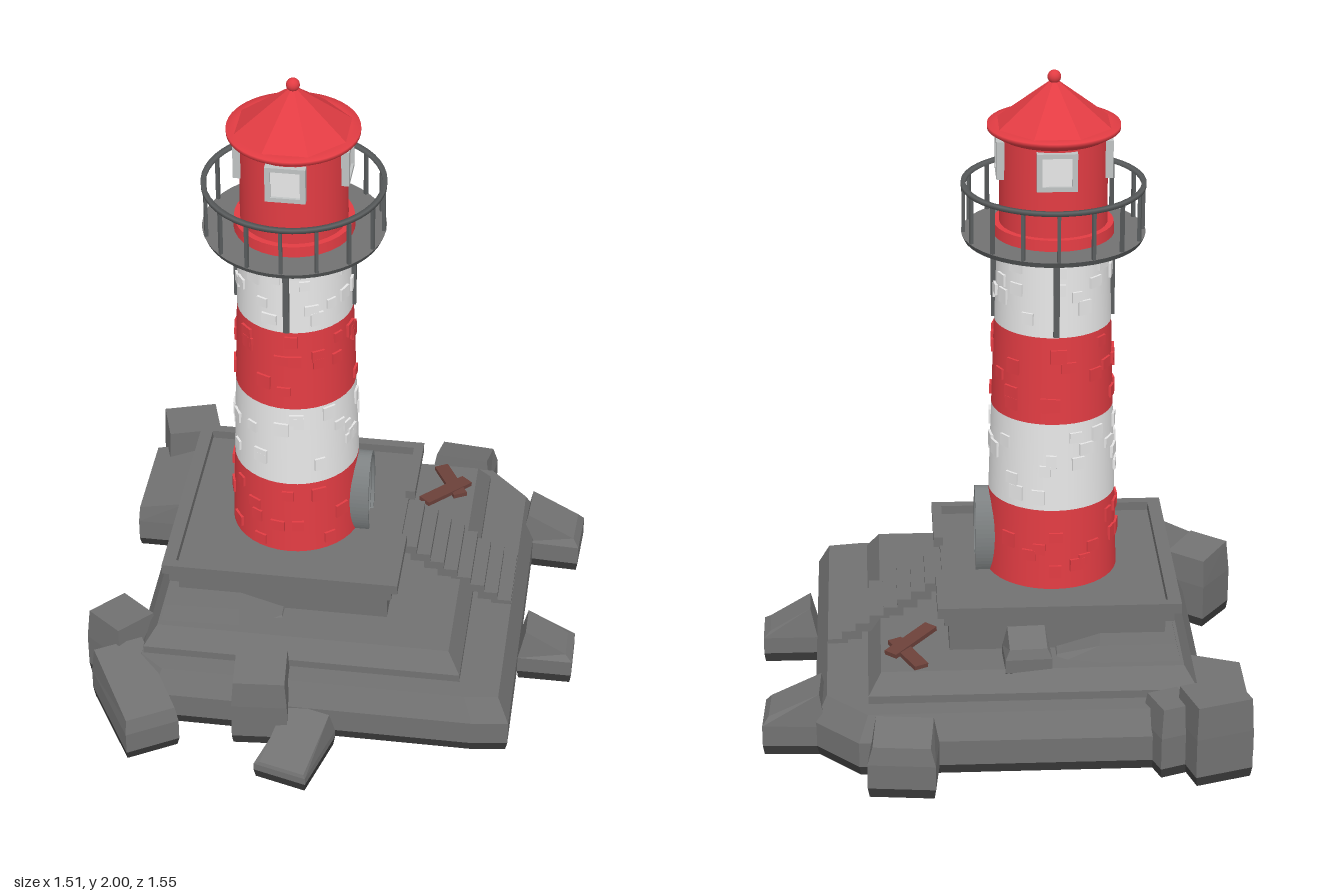
import * as THREE from 'three';
import { mergeGeometries } from 'three/addons/utils/BufferGeometryUtils.js';

const mat = (name, color, opts = {}) => {
  const m = new THREE.MeshStandardMaterial({ color, ...opts });
  m.name = name;
  return m;
};

// Stacks scaled copies of a polygon; points run counterclockwise seen from above.
// tilt(x, z) raises or lowers the topmost layer.
// Group 0 is the underside and lowest band, group 1 everything above.
function loft(pts, layers, tilt = () => 0) {
  const n = pts.length, pos = [], low = [], high = [];
  const cx = pts.reduce((s, p) => s + p[0], 0) / n;
  const cz = pts.reduce((s, p) => s + p[1], 0) / n;
  layers.forEach(([y, s], k) => {
    const top = k === layers.length - 1;
    for (const [px, pz] of pts) {
      const x = cx + (px - cx) * s, z = cz + (pz - cz) * s;
      pos.push(x, y + (top ? tilt(x - cx, z - cz) : 0), z);
    }
  });
  const last = (layers.length - 1) * n;
  pos.push(cx, layers[0][0], cz, cx, layers[layers.length - 1][0], cz);
  const cb = last + n, ct = cb + 1;
  for (let i = 0; i < n; i++) {
    const j = (i + 1) % n;
    for (let k = 0; k < last; k += n) {
      (k === 0 ? low : high).push(k + i, k + j, k + n + j, k + i, k + n + j, k + n + i);
    }
    low.push(cb, j, i);
    high.push(ct, last + i, last + j);
  }
  const g = new THREE.BufferGeometry();
  g.setAttribute('position', new THREE.Float32BufferAttribute(pos, 3));
  g.setIndex([...low, ...high]);
  const flat = g.toNonIndexed();
  flat.computeVertexNormals();
  flat.clearGroups();
  flat.addGroup(0, low.length, 0);
  flat.addGroup(low.length, high.length, 1);
  return flat;
}

const rect = (x0, x1, z0, z1) => [[x1, z1], [x1, z0], [x0, z0], [x0, z1]];

export function createModel() {
  const root = new THREE.Group();
  root.name = 'lighthouse';
  const stone = mat('stone grey', 0x727272, { flatShading: true });
  const wet = mat('wet rock', 0x3a3a3a, { flatShading: true });
  const red = mat('tower red', 0xe23c43);
  const white = mat('tower white', 0xebebeb);
  const iron = mat('iron grey', 0x5b5e5f);
  const trim = mat('trim grey', 0x7d8182);
  const wood = mat('wood brown', 0x6c413a);
  const frame = mat('window frame grey', 0xc0c3c3);

  const add = (parent, name, geo, material, x = 0, y = 0, z = 0) => {
    const m = new THREE.Mesh(geo, material);
    m.name = name;
    m.position.set(x, y, z);
    parent.add(m);
    return m;
  };
  const box = (parent, name, material, x0, x1, y0, y1, z0, z1) =>
    add(parent, name, new THREE.BoxGeometry(x1 - x0, y1 - y0, z1 - z0), material,
      (x0 + x1) / 2, (y0 + y1) / 2, (z0 + z1) / 2);
  const lathe = (parent, name, material, profile) =>
    add(parent, name, new THREE.LatheGeometry(profile.map(([x, y]) => new THREE.Vector2(x, y)), 48), material);

  // Rocky island in tiers, dark along the waterline
  const island = new THREE.Group();
  island.name = 'island';
  root.add(island);
  add(island, 'rockBase', loft(
    [[0.47, 0.545], [0.58, 0.53], [0.58, -0.51], [0.45, -0.64], [-0.52, -0.64], [-0.6, -0.55], [-0.6, 0.48], [-0.52, 0.545]],
    [[0.02, 0.99], [0.05, 1], [0.13, 1], [0.205, 0.94]]), [wet, stone]);
  add(island, 'rockTier', loft(rect(-0.56, 0.42, -0.54, 0.445), [[0.19, 1], [0.23, 1], [0.29, 0.92]]), stone);
  add(island, 'rockShelf', loft(
    [[-0.27, 0.37], [-0.14, 0.33], [-0.14, -0.44], [-0.27, -0.47], [-0.51, -0.47], [-0.51, 0.38]],
    [[0.27, 1.03], [0.335, 0.96]], (x) => (x > 0.12 ? -0.04 : 0)), stone);

  // Loose boulders: x, z, width, depth, bottom, top, turn, top scale, slope in x, slope in z
  [
    [-0.6, -0.65, 0.18, 0.15, 0.02, 0.28, 0.3, 0.95, 0, 0],
    [-0.47, -0.61, 0.12, 0.14, 0.02, 0.24, 0.35, 0.8, 0, 0],
    [-0.64, -0.45, 0.16, 0.34, 0.02, 0.19, 0, 0.95, 0.2, 0],
    [-0.65, 0.33, 0.15, 0.16, 0.02, 0.26, -0.65, 0.9, 0, 0.1],
    [-0.57, 0.55, 0.17, 0.32, 0.02, 0.19, 0.53, 0.92, 0, -0.15],
    [-0.18, 0.53, 0.17, 0.15, 0.02, 0.27, 0.08, 0.92, 0, -0.15],
    [-0.06, 0.64, 0.17, 0.23, 0, 0.09, -0.27, 0.85, 0, -0.4],
    [0.665, 0.13, 0.17, 0.14, 0.02, 0.16, 0, 0.75, -0.6, 0],
    [0.64, -0.43, 0.19, 0.16, 0.02, 0.18, -0.05, 0.8, -0.5, 0],
    [0.32, -0.7, 0.2, 0.14, 0.02, 0.2, -0.1, 0.85, 0, 0.3],
    [-0.055, -0.455, 0.14, 0.1, 0.25, 0.37, 0.05, 0.8, 0, 0.45],
  ].forEach(([x, z, w, d, y0, y1, turn, s, sx, sz]) => {
    const h = y1 - y0;
    const g = loft(rect(-w / 2, w / 2, -d / 2, d / 2),
      [[0, 0.95], [0.03, 1], [h * 0.6, 1], [h, s]], (px, pz) => px * sx + pz * sz);
    add(island, 'boulder', g, [wet, stone], x, y0, z).rotation.y = turn;
  });

  // Stone terrace with a raised rim, open at the stairs
  const terrace = new THREE.Group();
  terrace.name = 'terrace';
  root.add(terrace);
  box(terrace, 'terraceFoot', stone, -0.475, 0.175, 0.26, 0.385, -0.375, 0.275);
  box(terrace, 'terraceFloor', stone, -0.5, 0.19, 0.38, 0.42, -0.39, 0.3);
  box(terrace, 'rimFront', stone, -0.52, 0.21, 0.415, 0.448, 0.28, 0.31);
  box(terrace, 'rimBack', stone, -0.52, 0.21, 0.415, 0.448, -0.41, -0.38);
  box(terrace, 'rimRight', stone, -0.52, -0.48, 0.415, 0.448, -0.38, 0.28);
  box(terrace, 'rimLeftBack', stone, 0.18, 0.21, 0.415, 0.448, -0.38, -0.155);
  box(terrace, 'rimLeftFront', stone, 0.18, 0.21, 0.415, 0.448, 0.06, 0.28);
  for (let i = 0; i < 8; i++) {
    const x = 0.18 + i * 0.043, y = 0.405 - i * 0.0265;
    box(terrace, 'stairTread', stone, x, x + 0.062, y - 0.028, y, -0.165, 0.065);
  }

  // Broken planks
  const plank = (x, y, z, len, turn, tip) => {
    const m = add(root, 'plank', new THREE.BoxGeometry(0.045, 0.014, len), wood, x, y, z);
    m.rotation.set(tip, turn, 0, 'YXZ');
  };
  plank(0.29, 0.309, -0.345, 0.19, -0.72 + Math.PI, 0.08);
  plank(0.3, 0.3, -0.41, 0.17, 0.48, -0.05);

  // Tower in painted bands
  const tower = new THREE.Group();
  tower.name = 'tower';
  tower.position.set(-0.15, 0, -0.045);
  root.add(tower);
  const radius = (y) => 0.201 - 0.034 * (y - 0.42) / 1.08;
  let seed = 7;
  const rand = () => (seed = (seed * 16807) % 2147483647) / 2147483647;
  [[0.41, 0.68, red], [0.68, 0.96, white], [0.96, 1.235, red], [1.235, 1.5, white]].forEach(([y0, y1, m]) => {
    add(tower, 'towerBand', new THREE.CylinderGeometry(radius(y1), radius(y0), y1 - y0, 40, 1, true), m, 0, (y0 + y1) / 2, 0);
    // Raised bricks scattered over the band
    const bricks = [];
    for (let i = 0; i < 32; i++) {
      const a = (i * 0.618 + rand() * 0.08) * Math.PI * 2;
      const y = y0 + 0.04 + rand() * (y1 - y0 - 0.07);
      if (y < 0.7 && Math.cos(a - Math.PI / 2) > 0.85) continue;
      const g = new THREE.BoxGeometry(0.03 + rand() * 0.018, 0.03 + rand() * 0.018, 0.016);
      bricks.push(g.translate(0, y, radius(y) - 0.002).rotateY(a));
    }
    add(tower, 'bricks', mergeGeometries(bricks), m);
  });

  // Oval doorway facing +x
  const oval = (rx, ry) => new THREE.Shape().absellipse(0, 0, rx, ry, 0, Math.PI * 2);
  const doorPart = (name, rx, ry, hole, depth, m) => {
    const s = oval(rx, ry);
    if (hole) s.holes.push(oval(rx - hole, ry - hole));
    const g = new THREE.ExtrudeGeometry(s, { depth, bevelEnabled: false, curveSegments: 32 });
    add(tower, name, g.rotateY(Math.PI / 2), m, 0.12, 0.525, 0);
  };
  doorPart('doorFrame', 0.087, 0.147, 0.014, 0.115, trim);
  doorPart('doorInnerFrame', 0.074, 0.134, 0.012, 0.105, trim);
  doorPart('door', 0.063, 0.123, 0, 0.092, wood);

  // Gallery with stone floor, railing and brackets
  const gallery = new THREE.Group();
  gallery.name = 'gallery';
  tower.add(gallery);
  add(gallery, 'galleryCollar', new THREE.CylinderGeometry(0.19, 0.168, 0.025, 40), white, 0, 1.481, 0);
  add(gallery, 'galleryFloor', new THREE.CylinderGeometry(0.272, 0.265, 0.016, 48),
    [iron, stone, iron], 0, 1.5, 0);
  lathe(gallery, 'handrail', iron, [[0.258, 1.65], [0.272, 1.65], [0.272, 1.662], [0.258, 1.662], [0.258, 1.65]]);
  for (let i = 0; i < 16; i++) {
    const a = (i / 16) * Math.PI * 2;
    add(gallery, 'railPost', new THREE.BoxGeometry(0.01, 0.15, 0.01), iron,
      Math.sin(a) * 0.265, 1.58, Math.cos(a) * 0.265).rotation.y = a;
  }

  // Lantern room
  const lantern = new THREE.Group();
  lantern.name = 'lanternRoom';
  tower.add(lantern);
  add(lantern, 'lanternWall', new THREE.CylinderGeometry(0.158, 0.16, 0.32, 32), red, 0, 1.665, 0);
  add(lantern, 'lanternFoot', new THREE.CylinderGeometry(0.178, 0.18, 0.035, 32), red, 0, 1.524, 0);
  for (let i = 0; i < 4; i++) {
    const side = new THREE.Group();
    side.name = 'lanternSide';
    side.rotation.y = i * Math.PI / 2;
    lantern.add(side);
    box(side, 'windowPane', white, -0.045, 0.045, 1.7, 1.79, 0.153, 0.162);
    for (const s of [-1, 1]) {
      box(side, 'windowJamb', frame, s * 0.051 - 0.008, s * 0.051 + 0.008, 1.688, 1.802, 0.14, 0.17);
      box(side, 'windowRail', frame, -0.043, 0.043, 1.745 + s * 0.05 - 0.007, 1.745 + s * 0.05 + 0.007, 0.14, 0.17);
    }
    box(side, 'bracket', iron, -0.009, 0.009, 1.24, 1.495, 0.16, 0.184);
  }

  // Eight-sided roof on a round eave, with a ball on top
  lathe(lantern, 'eave', red, [[0, 1.81], [0.165, 1.81], [0.195, 1.828], [0.195, 1.84], [0.17, 1.842], [0, 1.842]]);
  const cone = new THREE.CylinderGeometry(0.012, 0.18, 0.13, 8).toNonIndexed();
  cone.computeVertexNormals();
  add(lantern, 'roof', cone, red, 0, 1.903, 0).rotation.y = Math.PI / 8;
  add(lantern, 'roofBall', new THREE.SphereGeometry(0.02, 16, 12), red, 0, 1.98, 0);
  return root;
}
